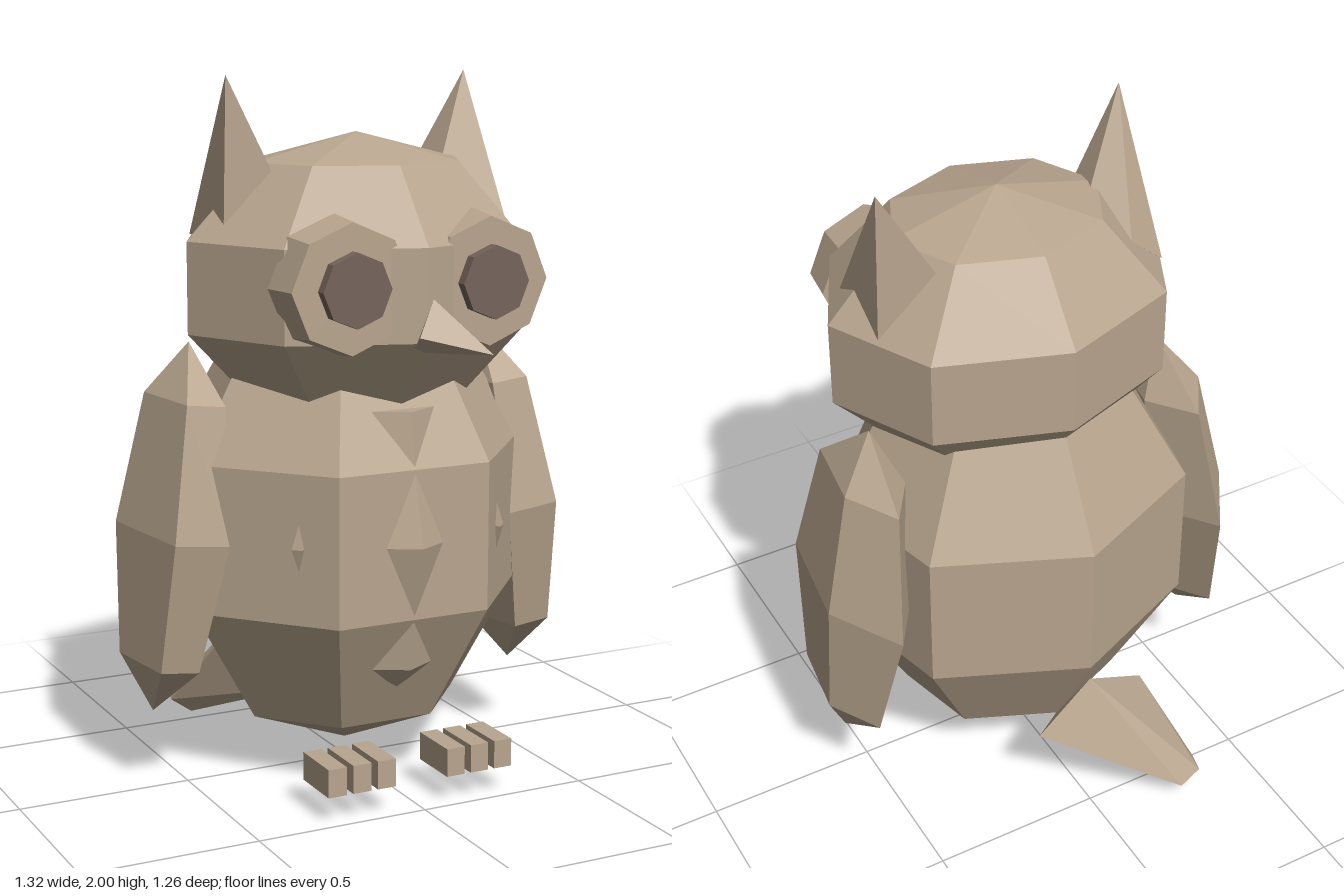
import * as THREE from 'three';
import { ConvexGeometry } from 'three/addons/geometries/ConvexGeometry.js';

export function createModel() {
  const owl = new THREE.Group();
  owl.name = 'owl';

  const tan = new THREE.MeshStandardMaterial({ color: 0xb8a58e, flatShading: true });
  tan.name = 'tan feathers';
  const brown = new THREE.MeshStandardMaterial({ color: 0x75645b, flatShading: true });
  brown.name = 'dark pupil';

  function add(name, geometry, x = 0, y = 0, z = 0, material = tan) {
    const mesh = new THREE.Mesh(geometry, material);
    mesh.name = name;
    mesh.position.set(x, y, z);
    owl.add(mesh);
    return mesh;
  }

  // Faceted ellipsoid with one meridian edge at the back
  const ball = (rx, ry, rz, sides, rows) =>
    new THREE.SphereGeometry(1, sides, rows).rotateY(-Math.PI / 2).scale(rx, ry, rz);

  // Solid wrapped around a few corner points
  const hull = (points) => new ConvexGeometry(points.map((p) => new THREE.Vector3(...p)));

  // Body and head
  add('body', ball(0.557, 0.68, 0.505, 7, 5), 0, 0.74, 0);
  add('head', ball(0.535, 0.41, 0.45, 8, 5), 0, 1.43, 0.07);

  for (const side of [1, -1]) {
    const label = side > 0 ? 'left' : 'right';

    // Wings, leaning out at the bottom
    const wing = add(label + 'Wing', ball(0.137, 0.53, 0.293, 5, 4), side * 0.522, 0.74, -0.047);
    wing.rotation.z = side * 0.118;

    // Eye ring and pupil
    add(label + 'EyeRing', new THREE.CylinderGeometry(0.175, 0.19, 0.115, 8).rotateX(Math.PI / 2),
      side * 0.207, 1.455, 0.408);
    add(label + 'Pupil', new THREE.CylinderGeometry(0.1, 0.1, 0.1, 8).rotateX(Math.PI / 2),
      side * 0.207, 1.455, 0.448, brown);

    // Three box toes
    for (let i = 0; i < 3; i++) {
      add(label + 'Toe' + (i + 1), new THREE.BoxGeometry(0.055, 0.08, 0.16),
        side * (0.108 + i * 0.075), 0.12, 0.4);
    }

    // Small feather tuft on the flank
    add(label + 'FlankTuft', new THREE.OctahedronGeometry(1).scale(0.022, 0.065, 0.022),
      side * 0.308, 0.745, 0.345);
  }

  // Ear tufts, one leaning back and one leaning forward
  add('leftEar', hull([
    [0.42, 2, -0.07],
    [0.245, 1.7, -0.09], [0.24, 1.7, 0.1], [0.428, 1.58, 0.17], [0.43, 1.56, -0.07],
  ]));
  add('rightEar', hull([
    [-0.42, 2, 0.14],
    [-0.435, 1.56, -0.09], [-0.32, 1.66, -0.11], [-0.235, 1.7, 0.01],
    [-0.27, 1.7, 0.15], [-0.43, 1.58, 0.14],
  ]));

  // Beak
  add('beak', hull([
    [0.125, 1.283, 0.628],
    [0.02, 1.42, 0.49], [-0.05, 1.328, 0.545], [-0.02, 1.275, 0.45], [0.085, 1.34, 0.43],
  ]));

  // Breast feathers down the middle
  const breast = [
    [1.105, 1.105, 0.95, 0.35, 0.41],
    [0.74, 0.95, 0.53, 0.42, 0.48],
    [0.38, 0.53, 0.31, 0.35, 0.41],
  ];
  breast.forEach(([y, top, bottom, zBase, zFront], i) => {
    const zTop = i === 0 ? 0.33 : 0.43;
    const zBottom = i === 2 ? 0.33 : 0.43;
    add('breastFeather' + (i + 1), hull([
      [-0.11, y, zBase], [0.11, y, zBase], [0, y, zFront],
      [0, top, zTop], [0, bottom, zBottom], [0, y, 0.3],
    ]));
  });

  // Tapered tail swept to one side
  add('tail', hull([
    [0.15, 0.3, -0.45], [-0.03, 0.43, -0.43], [-0.25, 0.28, -0.36], [-0.03, 0.14, -0.25],
    [-0.315, 0.07, -0.61], [-0.24, 0.055, -0.63], [-0.335, 0.06, -0.54], [-0.26, 0.005, -0.56],
  ]));

  return owl;
}
